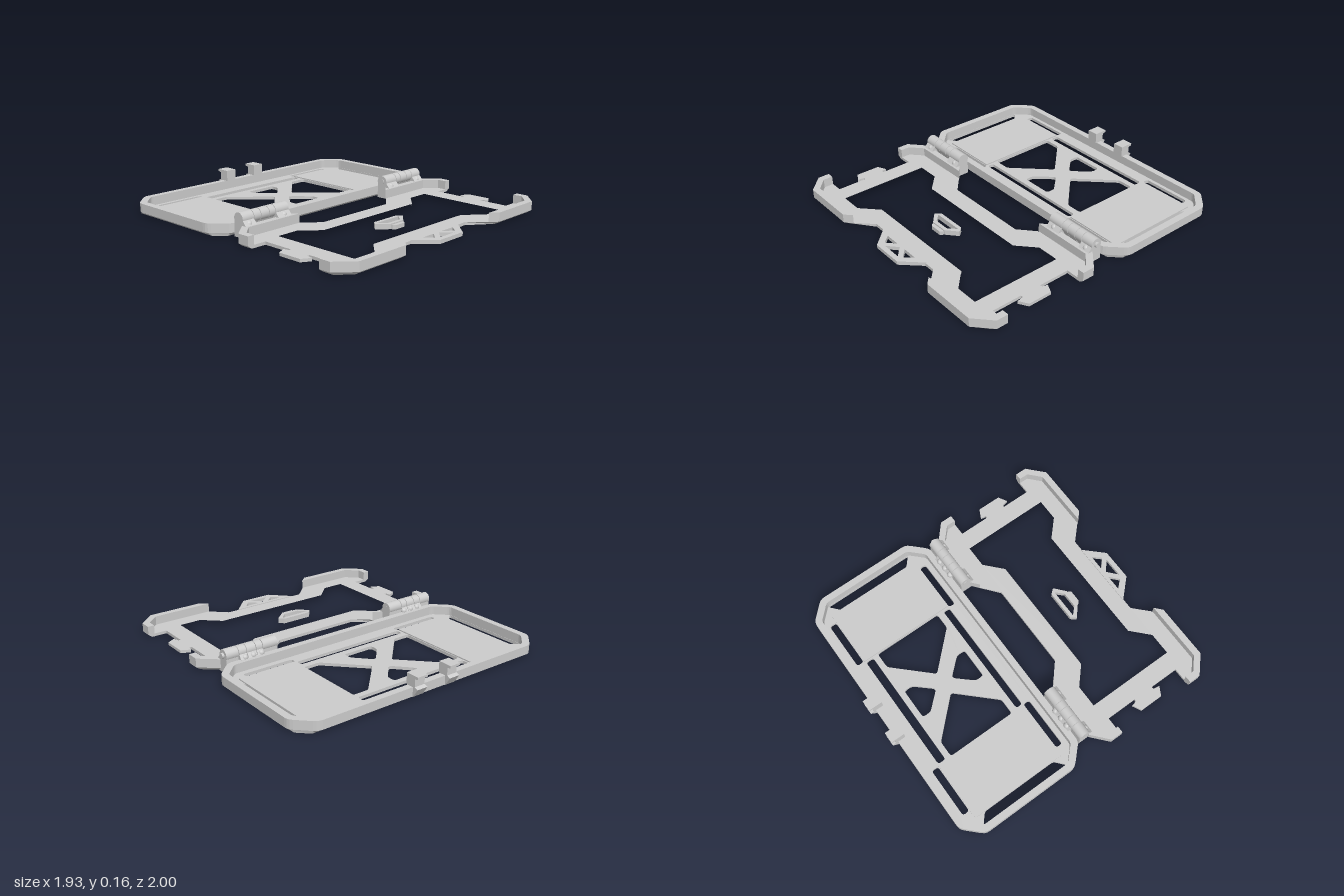
import * as THREE from 'three';

const mat = new THREE.MeshStandardMaterial({ color: 0xcccccc, flatShading: true });
const smooth = new THREE.MeshStandardMaterial({ color: 0xcccccc });

function add(parent, geo, name, material = mat) {
  const m = new THREE.Mesh(geo, material);
  m.name = name;
  parent.add(m);
  return m;
}

// Closed outline with softly rounded corners (r = 0 keeps them sharp)
function trace(path, pts, r = 0) {
  const v = pts.map(p => new THREE.Vector2(p[0], p[1]));
  v.forEach((p, i) => {
    const a = v[(i + v.length - 1) % v.length], b = v[(i + 1) % v.length];
    const toward = q => p.clone().add(q.clone().sub(p).setLength(Math.min(r, p.distanceTo(q) / 2.5)));
    const s = r ? toward(a) : p;
    if (i) path.lineTo(s.x, s.y); else path.moveTo(s.x, s.y);
    if (r) { const e = toward(b); path.quadraticCurveTo(p.x, p.y, e.x, e.y); }
  });
  path.closePath();
  return path;
}

// Flat plate: outline in (x, z), between heights y0 and y1
function slab(pts, y0, y1, holes = [], r = 0, holeR = 0) {
  const shape = trace(new THREE.Shape(), pts, r);
  for (const h of holes) shape.holes.push(trace(new THREE.Path(), h, holeR));
  const g = new THREE.ExtrudeGeometry(shape, { depth: y1 - y0, bevelEnabled: false, curveSegments: 3 });
  return g.rotateX(Math.PI / 2).translate(0, y1, 0);
}

// Side profile in (z, y), given a width along x
function profile(pts, x, w) {
  const g = new THREE.ExtrudeGeometry(trace(new THREE.Shape(), pts), { depth: w, bevelEnabled: false });
  return g.rotateY(-Math.PI / 2).translate(x + w / 2, 0, 0);
}

// Bevel the underside edge by pulling the bottom vertices inwards
function bevelBottom(g, xMax, zMin, zMax) {
  const p = g.attributes.position;
  for (let i = 0; i < p.count; i++) {
    if (p.getY(i) > 0.001) continue;
    p.setX(i, THREE.MathUtils.clamp(p.getX(i), -xMax, xMax));
    p.setZ(i, THREE.MathUtils.clamp(p.getZ(i), zMin, zMax));
  }
  g.computeVertexNormals();
  return g;
}

const flipX = pts => pts.map(([x, z]) => [-x, z]).reverse();
const both = pts => [pts, flipX(pts)];
const rect = (x0, x1, z0, z1) => [[x0, z0], [x1, z0], [x1, z1], [x0, z1]];
const octagon = (x, z0, z1, c) => [[-x + c, z0], [x - c, z0], [x, z0 + c], [x, z1 - c],
  [x - c, z1], [-x + c, z1], [-x, z1 - c], [-x, z0 + c]];

function buildTray() {
  const tray = new THREE.Group();
  tray.name = 'tray';
  const outer = octagon(0.963, -0.96, -0.025, 0.12);
  const inner = octagon(0.917, -0.915, -0.07, 0.095);

  // Floor with cross-braced window, slots and end openings
  const holes = [
    ...both([[-0.43, -0.735], [-0.315, -0.735], [-0.08, -0.4925], [-0.315, -0.25], [-0.43, -0.25]]),
    [[-0.11, -0.735], [0.11, -0.735], [0.11, -0.675], [0.01, -0.565], [-0.01, -0.565], [-0.11, -0.675]],
    [[-0.11, -0.25], [-0.11, -0.31], [-0.01, -0.42], [0.01, -0.42], [0.11, -0.31], [0.11, -0.25]],
    ...both([[-0.915, -0.825], [-0.845, -0.765], [-0.845, -0.225], [-0.915, -0.165]]),
    ...both(rect(-0.785, -0.437, -0.89, -0.842)),
    ...both(rect(-0.785, -0.425, -0.153, -0.107)),
    rect(-0.425, 0.425, -0.83, -0.775),
    rect(-0.42, 0.42, -0.205, -0.158),
  ];
  add(tray, bevelBottom(slab(outer, 0, 0.02, holes, 0.03, 0.018), 0.935, -0.93, -0.055), 'trayFloor');
  add(tray, slab(outer, 0.02, 0.08, [inner], 0.03, 0.02), 'trayWall');
  // Raised side pads
  for (const pts of both(rect(-0.845, -0.435, -0.838, -0.158))) add(tray, slab(pts, 0.018, 0.028), 'sidePad');

  // Latch hooks on the back edge
  const hook = [[-0.905, 0.155], [-0.905, 0.08], [-0.955, 0.08], [-0.955, 0.015], [-0.965, 0.02],
    [-1, 0.075], [-0.975, 0.085], [-0.975, 0.135], [-1, 0.14], [-1, 0.155]].reverse();
  for (const s of [-1, 1]) add(tray, profile(hook, s * 0.129, 0.077), 'latchHook');
  return tray;
}

function buildFrame() {
  const frame = new THREE.Group();
  frame.name = 'openFrame';
  // Left half outlines, mirrored to close the loop
  const half = [[-0.305, 0.2], [-0.47, 0.055], [-0.85, 0.055], [-0.963, 0.155], [-0.963, 0.24], [-0.83, 0.24],
    [-0.83, 0.81], [-0.963, 0.81], [-0.963, 0.89], [-0.85, 0.995], [-0.465, 0.995], [-0.31, 0.845]];
  const hole = [[-0.43, 0.325], [-0.55, 0.215], [-0.705, 0.215], [-0.705, 0.84], [-0.55, 0.84], [-0.43, 0.727]];
  const plate = slab([...half, ...flipX(half)], 0, 0.02, [[...hole, ...flipX(hole)]]);
  add(frame, bevelBottom(plate, 0.935, 0.08, 0.965), 'framePlate');

  // Corner walls
  const rear = [[-0.47, 0.055], [-0.85, 0.055], [-0.963, 0.155], [-0.963, 0.24], [-0.917, 0.24],
    [-0.917, 0.175], [-0.835, 0.1], [-0.415, 0.1]];
  const front = [[-0.465, 0.995], [-0.85, 0.995], [-0.963, 0.89], [-0.963, 0.81], [-0.917, 0.81],
    [-0.917, 0.875], [-0.835, 0.95], [-0.415, 0.95]];
  for (const pts of [...both(rear), ...both(front)]) add(frame, slab(pts, 0.02, 0.08), 'cornerWall');

  // Side tabs
  const tab = [[-0.915, 0.45], [-0.855, 0.42], [-0.847, 0.455], [-0.825, 0.46], [-0.825, 0.605],
    [-0.847, 0.605], [-0.855, 0.65], [-0.915, 0.615]];
  for (const pts of both(tab)) add(frame, slab(pts, 0, 0.02), 'sideTab');

  // Front truss
  add(frame, slab([[-0.235, 0.84], [0.235, 0.84], [0.11, 0.97], [-0.11, 0.97]], 0, 0.025, [
    ...both([[-0.15, 0.865], [-0.04, 0.865], [-0.1, 0.92]]),
    [[0, 0.875], [0.07, 0.937], [-0.07, 0.937]],
  ]), 'frontTruss');
  return frame;
}

function buildHinge(side) {
  const hinge = new THREE.Group();
  hinge.name = side > 0 ? 'leftHinge' : 'rightHinge';
  const cuts = [0.468, 0.58, 0.63, 0.698, 0.755, 0.847];
  const frameArm = [[-0.015, 0.11], [-0.02, 0], [0.085, 0], [0.085, 0.08], [0.055, 0.115]];
  const trayArm = [[-0.015, 0.115], [-0.04, 0.08], [-0.04, 0], [-0.015, 0], [0.03, 0.05], [0.055, 0.11]];
  for (let i = 0; i < 5; i++) {
    const w = cuts[i + 1] - cuts[i] - 0.004, x = side * (cuts[i] + cuts[i + 1]) / 2;
    add(hinge, new THREE.CylinderGeometry(0.04, 0.04, w, 24).rotateZ(Math.PI / 2).translate(x, 0.117, 0.02),
      'hingeKnuckle', smooth);
    add(hinge, profile(i === 0 || i === 4 ? frameArm : trayArm, x, w), 'hingeArm');
  }
  // Pin and screw heads
  add(hinge, new THREE.CylinderGeometry(0.018, 0.018, side > 0 ? 0.395 : 0.375, 16).rotateZ(Math.PI / 2)
    .translate(side > 0 ? 0.663 : -0.657, 0.117, 0.02), 'hingePin', smooth);
  const heads = [[0.515, 0.06], [0.8, 0.06], [0.597, -0.022], [0.657, -0.022], [0.717, -0.022]];
  for (const [x, z] of heads)
    add(hinge, new THREE.SphereGeometry(0.022, 14, 10).translate(side * x, 0.085, z), 'screwHead', smooth);
  return hinge;
}

function buildClip() {
  const clip = new THREE.Group();
  clip.name = 'looseClip';
  add(clip, slab([[-0.155, 0.5], [-0.125, 0.465], [0.085, 0.465], [0.115, 0.5], [0.04, 0.565], [-0.08, 0.565]],
    0, 0.035, [[[-0.125, 0.49], [0.085, 0.49], [0.035, 0.54], [-0.075, 0.54]]]), 'clipLoop');
  add(clip, slab([[-0.078, 0.55], [0.038, 0.55], [0.035, 0.575], [0.022, 0.59], [-0.06, 0.59], [-0.075, 0.575]],
    0, 0.027), 'clipTongue');
  return clip;
}

export function createModel() {
  const model = new THREE.Group();
  model.name = 'hingedCase';
  model.add(buildTray(), buildFrame(), buildHinge(1), buildHinge(-1), buildClip());
  return model;
}
